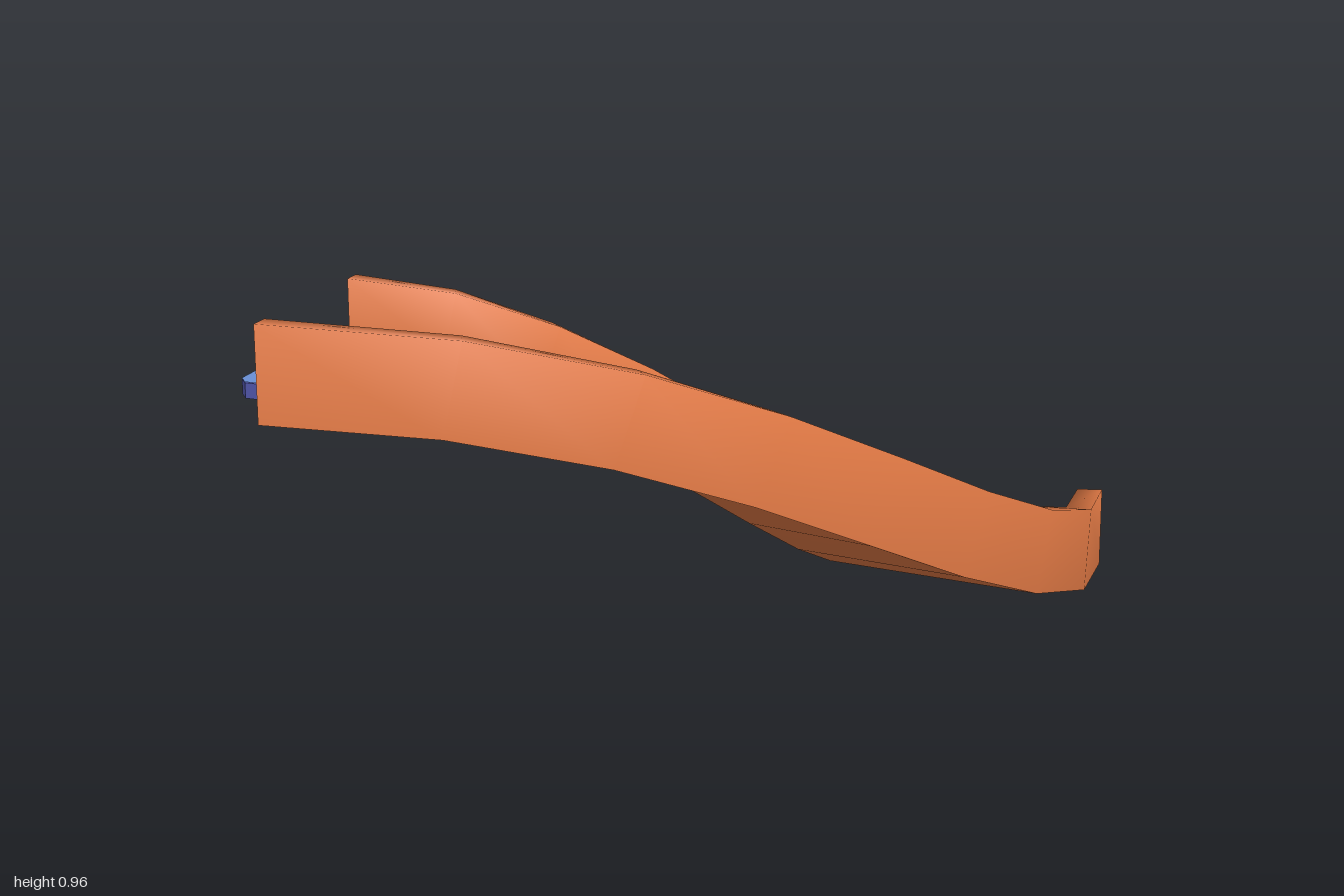
import * as THREE from 'three';

const SEGMENTS = 8;
const DROP = 0.745; // height difference between the two ends
const END = -0.85; // both end faces lie on this x or z
const RADIUS = 1.48;
const HANDLE = RADIUS / 2;

// Quarter-turn centre line on the ground plane
const path = new THREE.CubicBezierCurve(
  new THREE.Vector2(END, END + RADIUS),
  new THREE.Vector2(END + HANDLE, END + RADIUS),
  new THREE.Vector2(END + RADIUS, END + HANDLE),
  new THREE.Vector2(END + RADIUS, END)
);

// Channel cross-section: u points to the outside of the bend, v points up
const profile = [
  [-0.37, 0], [0.37, 0], [0.37, 0.22], [0.3, 0.22],
  [0.3, 0.07], [-0.3, 0.07], [-0.3, 0.22], [-0.37, 0.22],
];

// One cross-section, square to the sloping path
function makeRing(t) {
  const ease = Math.sin(2 * Math.PI * t);
  const s = t + 0.011 * ease;
  const p = path.getPoint(s);
  const d = path.getTangent(s);
  const turn = Math.atan2(-d.y, d.x) + 0.035 * ease;
  const speed = 3 * THREE.MathUtils.lerp(HANDLE, 0.78, 4 * t * (1 - t));
  const pitch = Math.atan2(6 * DROP * t * (1 - t), speed);
  const ahead = new THREE.Vector3(Math.cos(turn), 0, -Math.sin(turn));
  const out = new THREE.Vector3(Math.sin(turn), 0, Math.cos(turn));
  const up = new THREE.Vector3(0, Math.cos(pitch), 0).addScaledVector(ahead, Math.sin(pitch));
  const y = DROP * (1 - 3 * t * t + 2 * t * t * t);
  return profile.map(([u, v]) =>
    new THREE.Vector3(p.x, y, p.y).addScaledVector(out, u).addScaledVector(up, v));
}

function toGeometry(points, index) {
  const geometry = new THREE.BufferGeometry().setFromPoints(points);
  geometry.setIndex(index);
  geometry.computeVertexNormals();
  return geometry;
}

// Sweep some neighbouring profile corners along the whole slide
function sweep(rings, corners) {
  const n = corners.length;
  const points = rings.flatMap((ring) => corners.map((c) => ring[c]));
  const index = [];
  for (let i = 0; i < rings.length - 1; i++) {
    for (let j = 0; j < n - 1; j++) {
      const a = i * n + j;
      const b = a + n;
      index.push(a, b, a + 1, a + 1, b, b + 1);
    }
  }
  return toGeometry(points, index);
}

// Flat end face of the channel
function endCap(ring, flip) {
  const contour = profile.map(([u, v]) => new THREE.Vector2(u, v));
  const faces = THREE.ShapeUtils.triangulateShape(contour, []);
  return toGeometry(ring, faces.flatMap(([a, b, c]) => (flip ? [a, c, b] : [a, b, c])));
}

// U-shaped connector outline
const linkShape = new THREE.Shape([
  [-0.11, 0], [-0.037, 0], [-0.037, 0.077], [0.037, 0.077], [0.037, 0],
  [0.11, 0], [0.11, 0.075], [0.09, 0.127], [0.045, 0.15],
  [-0.045, 0.15], [-0.09, 0.127], [-0.11, 0.075],
].map(([x, y]) => new THREE.Vector2(x, y)));

// Connector pointing to -z: dark body with a lighter top face
function makeLink(name, bodyMaterial, topMaterial) {
  const link = new THREE.Group();
  link.name = name;
  const body = new THREE.Mesh(
    new THREE.ExtrudeGeometry(linkShape, { depth: 0.036, bevelEnabled: false }), bodyMaterial);
  body.name = 'linkBody';
  const top = new THREE.Mesh(new THREE.ShapeGeometry(linkShape), topMaterial);
  top.name = 'linkTop';
  top.position.y = 0.038;
  for (const mesh of [body, top]) {
    mesh.rotation.x = -Math.PI / 2;
    link.add(mesh);
  }
  return link;
}

export function createModel() {
  const model = new THREE.Group();
  model.name = 'curvedSlide';
  const material = (name, color) => {
    const m = new THREE.MeshStandardMaterial({ color });
    m.name = name;
    return m;
  };
  const orange = material('orange', 0xe87d47);
  const lightBlue = material('lightBlue', 0x698ed4);
  const indigo = material('indigo', 0x5459b0);

  // Channel
  const add = (name, geometry) => {
    const mesh = new THREE.Mesh(geometry, orange);
    mesh.name = name;
    model.add(mesh);
  };
  const rings = Array.from({ length: SEGMENTS + 1 }, (_, i) => makeRing(i / SEGMENTS));
  add('underside', sweep(rings, [0, 1]));
  add('outerWall', sweep(rings, [1, 2, 3, 4]));
  add('floor', sweep(rings, [4, 5]));
  add('innerWall', sweep(rings, [5, 6, 7, 0]));
  add('upperEndFace', endCap(rings[0], false));
  add('lowerEndFace', endCap(rings[SEGMENTS], true));

  // Connector loops
  const lowerLink = makeLink('lowerLink', indigo, lightBlue);
  lowerLink.position.set(END + RADIUS, 0, END);
  const upperLink = makeLink('upperLink', indigo, lightBlue);
  upperLink.position.set(END, DROP, END + RADIUS);
  upperLink.rotation.y = Math.PI / 2;
  model.add(lowerLink, upperLink);

  return model;
}
